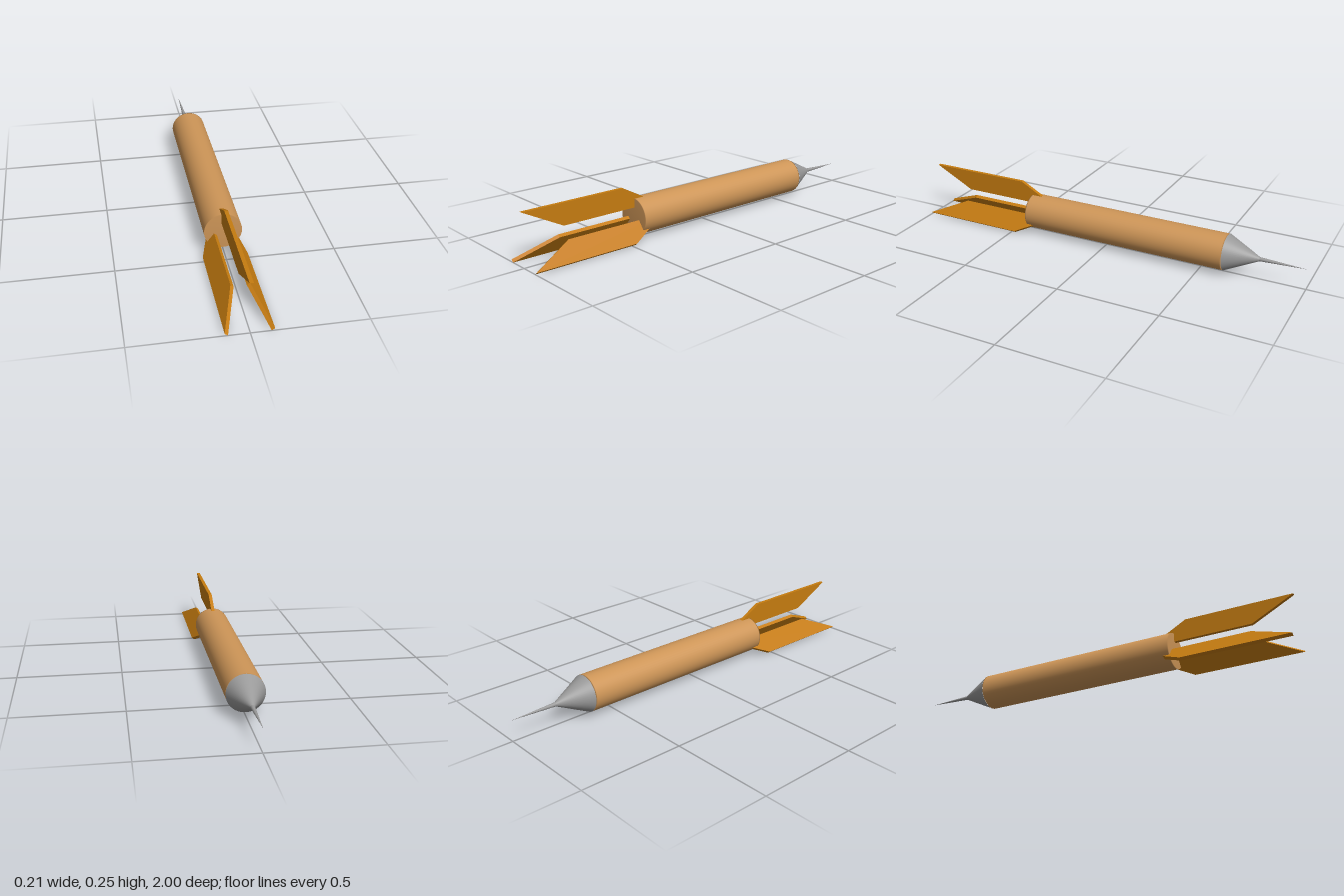
import * as THREE from 'three';

export function createModel() {
  const model = new THREE.Group();
  const R = 0.087, axisY = 0.105;
  const tan = new THREE.MeshStandardMaterial({ color: 0xcd9557 });
  const amber = new THREE.MeshStandardMaterial({ color: 0xc67c10 });
  const grey = new THREE.MeshStandardMaterial({ color: 0x999999 });

  // Turned parts: profile points are [radius, z]
  function turned(name, profile, material, sides) {
    const points = profile.map(([r, z]) => new THREE.Vector2(r, z));
    const geometry = new THREE.LatheGeometry(points, sides);
    geometry.rotateX(Math.PI / 2);
    const mesh = new THREE.Mesh(geometry, material);
    mesh.name = name;
    mesh.position.set(-0.001, axisY, 0);
    model.add(mesh);
  }

  turned('body', [[0, -0.62], [R, -0.62], [R, -0.615], [R, 0.415], [R, 0.42], [0, 0.42]], tan, 48);
  turned('noseCone', [[0.009, -0.78], [R, -0.621]], grey, 48);
  turned('noseSpike', [[0, -1], [0.010, -0.775]], grey, 16);

  // Swept fin: shape drawn in (z, outward distance), extruded to its thickness
  const span = 0.103, thickness = 0.017;
  const outline = new THREE.Shape([
    [0.29, 0], [0.80, 0], [1, span], [0.48, span],
  ].map(([z, d]) => new THREE.Vector2(z, d)));
  const finGeometry = new THREE.ExtrudeGeometry(outline, { depth: thickness, bevelEnabled: false });
  finGeometry.translate(0, 0, -thickness / 2);
  finGeometry.rotateY(-Math.PI / 2);

  // Root position and outward angle, measured clockwise from straight up
  const lowerAngle = Math.PI - 0.64;
  const fins = [
    ['topFin', -0.001, 0.15, 0],
    ['leftFin', 0.033, 0.092, lowerAngle],
    ['rightFin', -0.036, 0.092, -lowerAngle],
  ];
  for (const [name, x, y, angle] of fins) {
    const fin = new THREE.Mesh(finGeometry, amber);
    fin.name = name;
    fin.position.set(x, y, 0);
    fin.rotation.z = -angle;
    model.add(fin);
  }

  return model;
}
